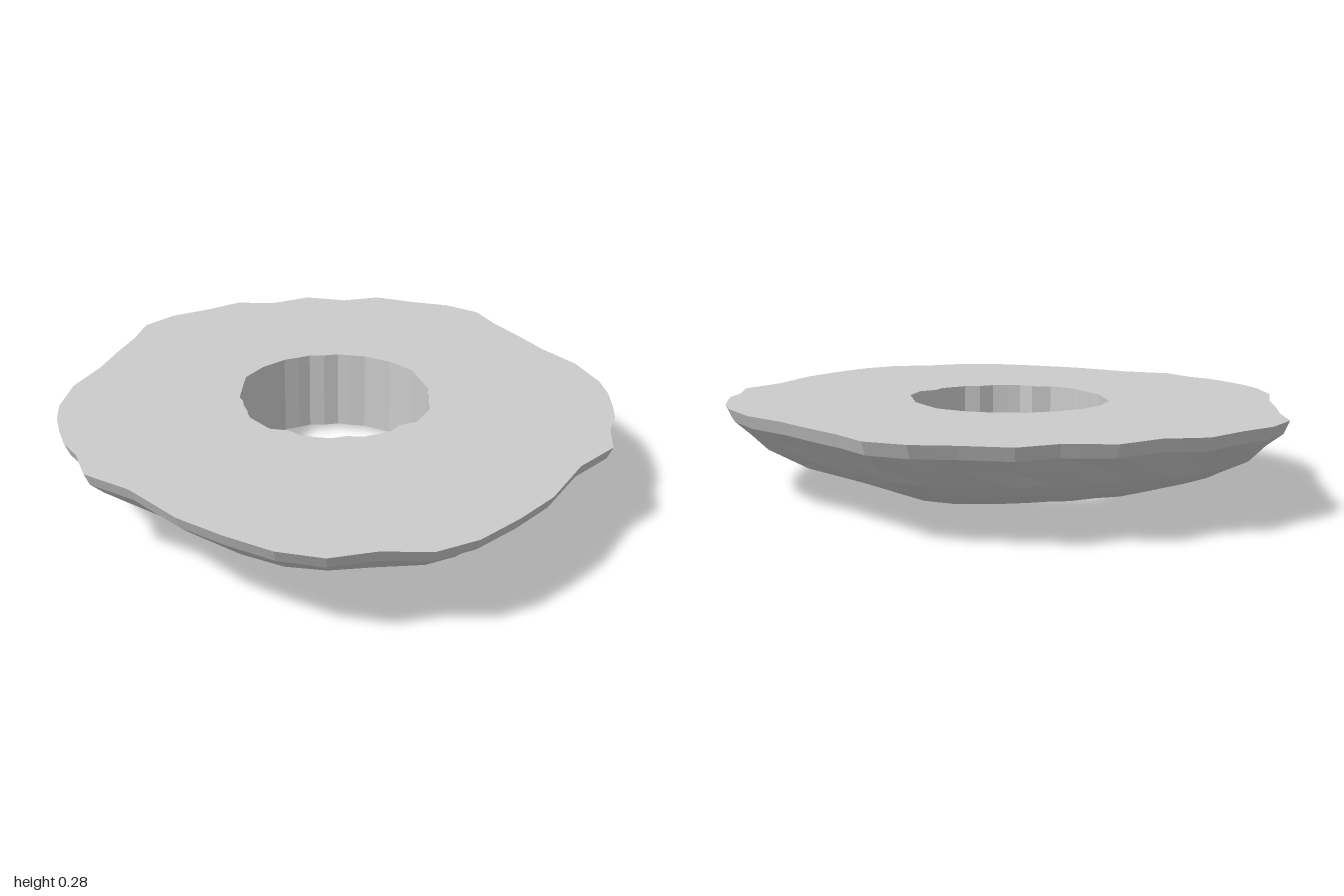
import * as THREE from 'three';

// Half outlines [x, z], from the back round the left side to the front
const OUTER = [
  [0, -1], [0.14, -0.95], [0.27, -0.97], [0.4, -0.9], [0.52, -0.85], [0.62, -0.76],
  [0.66, -0.63], [0.72, -0.49], [0.77, -0.36], [0.85, -0.21], [0.885, -0.05],
  [0.885, 0.05], [0.87, 0.15], [0.85, 0.24], [0.81, 0.32], [0.78, 0.45],
  [0.65, 0.56], [0.52, 0.74], [0.4, 0.85], [0.27, 0.95], [0.14, 1], [0, 0.98],
];
const HOLE = [
  [0, -0.385], [0.05, -0.39], [0.09, -0.375], [0.14, -0.36], [0.18, -0.33], [0.22, -0.3],
  [0.25, -0.26], [0.28, -0.22], [0.29, -0.17], [0.3, -0.11], [0.31, -0.05],
  [0.3, -0.02], [0.3, 0.01], [0.29, 0.06], [0.29, 0.08], [0.285, 0.11],
  [0.23, 0.2], [0.17, 0.22], [0.14, 0.26], [0.1, 0.275], [0.05, 0.29], [0, 0.28],
];
const TOP = 0.28;

const mirror = (half) => [...half, ...half.slice(1, -1).reverse().map(([x, z]) => [-x, z])];

// Ring at fraction t of the way from the hole to the rim, at height y
function ring(t, y, rough = 0) {
  const outer = mirror(OUTER);
  return mirror(HOLE).map(([hx, hz], i) => {
    const k = Math.min(i, outer.length - i);
    const s = t + rough * Math.sin(k * 2.3 + t * 20);
    const x = hx + (outer[i][0] - hx) * s;
    const z = hz + (outer[i][1] - hz) * s;
    return [x, typeof y === 'function' ? y(z) : y, z];
  });
}

// Faceted skin between successive rings
function skin(rings) {
  const pos = [];
  for (let r = 0; r < rings.length - 1; r++) {
    const a = rings[r], b = rings[r + 1], n = a.length;
    for (let i = 0; i < n; i++) {
      const j = (i + 1) % n;
      pos.push(...a[i], ...a[j], ...b[i], ...a[j], ...b[j], ...b[i]);
    }
  }
  const geo = new THREE.BufferGeometry();
  geo.setAttribute('position', new THREE.Float32BufferAttribute(pos, 3));
  geo.computeVertexNormals();
  return geo;
}

export function createModel() {
  const group = new THREE.Group();
  group.name = 'rockRing';
  const material = new THREE.MeshStandardMaterial({ color: 0xcccccc, flatShading: true });
  const add = (name, rings) => {
    const mesh = new THREE.Mesh(skin(rings), material);
    mesh.name = name;
    group.add(mesh);
  };

  // Flat upper face
  add('topFace', [ring(0, TOP), ring(1, TOP)]);

  // Rough curved underside, lowest beside the hole
  add('underside', [
    ring(1, TOP),
    ring(0.97, 0.24),
    ring(0.89, 0.2, 0.008),
    ring(0.79, 0.15, 0.012),
    ring(0.66, 0.108, 0.012),
    ring(0.4, 0.058),
    ring(0.12, (z) => 0.17 * (z + 0.1) ** 2),
    ring(0, 0.015),
  ]);

  // Upright wall of the hole
  add('holeWall', [ring(0, 0.015), ring(0, TOP)]);

  return group;
}
